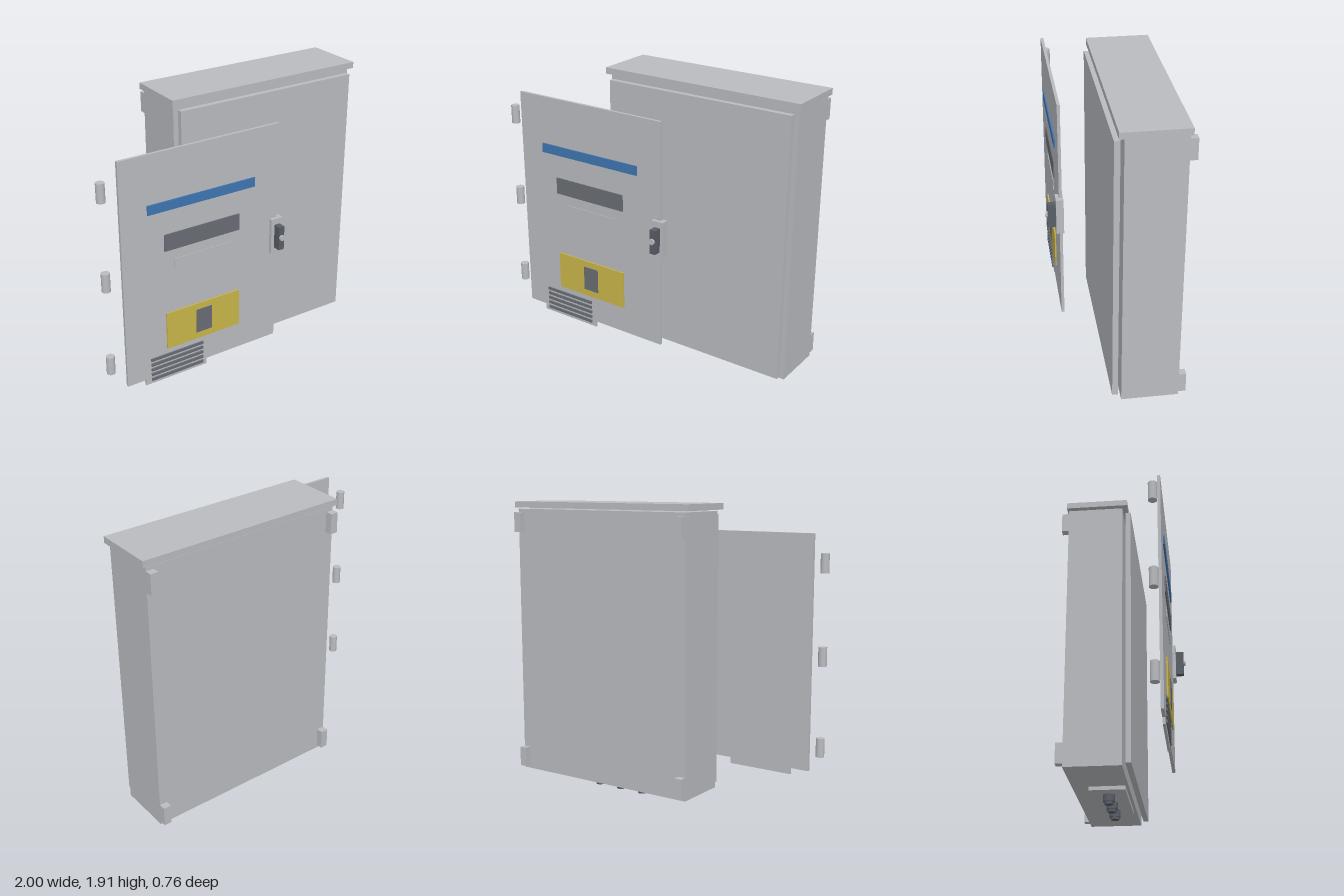
import * as THREE from 'three';

const paint = (name, color) => {
  const m = new THREE.MeshStandardMaterial({ color });
  m.name = name;
  return m;
};

export function createModel() {
  const root = new THREE.Group();
  root.name = 'electricalCabinet';

  const grey = paint('lightGrey', 0xb9bbbf);
  const dark = paint('darkGrey', 0x696e75);
  const charcoal = paint('charcoal', 0x595e66);
  const blue = paint('blue', 0x3f76b2);
  const yellow = paint('yellow', 0xc9b54a);

  // Box given by its limits along x, y and z
  const box = (name, mat, x0, x1, y0, y1, z0, z1, parent = root) => {
    const mesh = new THREE.Mesh(new THREE.BoxGeometry(x1 - x0, y1 - y0, z1 - z0), mat);
    mesh.position.set((x0 + x1) / 2, (y0 + y1) / 2, (z0 + z1) / 2);
    mesh.name = name;
    parent.add(mesh);
    return mesh;
  };
  // Upright cylinder between two heights
  const post = (name, mat, r, x, y0, y1, z, parent = root) => {
    const mesh = new THREE.Mesh(new THREE.CylinderGeometry(r, r, y1 - y0, 28), mat);
    mesh.position.set(x, (y0 + y1) / 2, z);
    mesh.name = name;
    parent.add(mesh);
    return mesh;
  };

  // Housing, sealing panel and overhanging roof
  box('housing', grey, -0.353, 0.974, 0.09, 1.86, -0.335, 0.018);
  box('sealPanel', grey, -0.33, 0.951, 0.112, 1.838, 0.035, 0.07);
  box('roof', grey, -0.375, 0.996, 1.868, 1.908, -0.347, 0.05);

  // Wall brackets at the four back corners
  for (const x of [-0.353, 0.924])
    for (const y of [0.112, 1.708])
      box('wallBracket', grey, x, x + 0.05, y, y + 0.13, -0.38, -0.334);

  // Gland plate with three cable glands under the floor
  box('glandPlate', grey, 0.025, 0.597, 0.062, 0.086, -0.228, 0);
  for (const x of [0.133, 0.31, 0.487]) {
    post('glandNut', charcoal, 0.037, x, 0.017, 0.062, -0.114);
    post('glandTip', charcoal, 0.028, x, 0, 0.018, -0.114);
  }

  // Door, set off to the side in front of the housing
  const door = new THREE.Group();
  door.name = 'door';
  root.add(door);
  box('doorPanel', grey, -0.883, 0.22, 0.222, 1.727, 0.281, 0.3, door);
  box('ventLip', grey, -0.755, -0.31, 0.18, 0.222, 0.283, 0.298, door);
  for (let i = 0; i < 5; i++) {
    const y = 0.204 + i * 0.0355;
    box('ventSlat', dark, -0.716, -0.34, y, y + 0.019, 0.3, 0.309, door);
  }

  // Plates on the door front
  box('blueStripe', blue, -0.707, 0.044, 1.353, 1.414, 0.3, 0.309, door);
  box('greyLabel', dark, -0.6, -0.067, 1.087, 1.197, 0.3, 0.307, door);
  box('smallLabel', grey, -0.532, -0.134, 0.955, 1.02, 0.3, 0.304, door);
  box('yellowPanel', yellow, -0.6, -0.067, 0.404, 0.658, 0.3, 0.309, door);
  box('yellowPanelInset', dark, -0.389, -0.276, 0.45, 0.615, 0.308, 0.313, door);

  // Latch: base, grip and lock button
  const latch = new THREE.Group();
  latch.name = 'latch';
  root.add(latch);
  box('latchBase', grey, 0.167, 0.251, 0.855, 1.095, 0.274, 0.322, latch);
  box('latchGrip', charcoal, 0.19, 0.23, 0.895, 1.055, 0.322, 0.373, latch);
  const button = post('lockButton', grey, 0.019, 0.21, 0.975, 0.987, 0.379, latch);
  button.rotation.x = Math.PI / 2;

  // Hinge barrels beside the door
  for (const y of [0.338, 0.915, 1.49])
    post('hingeBarrel', grey, 0.027, -0.973, y, y + 0.121, 0.259);

  return root;
}
